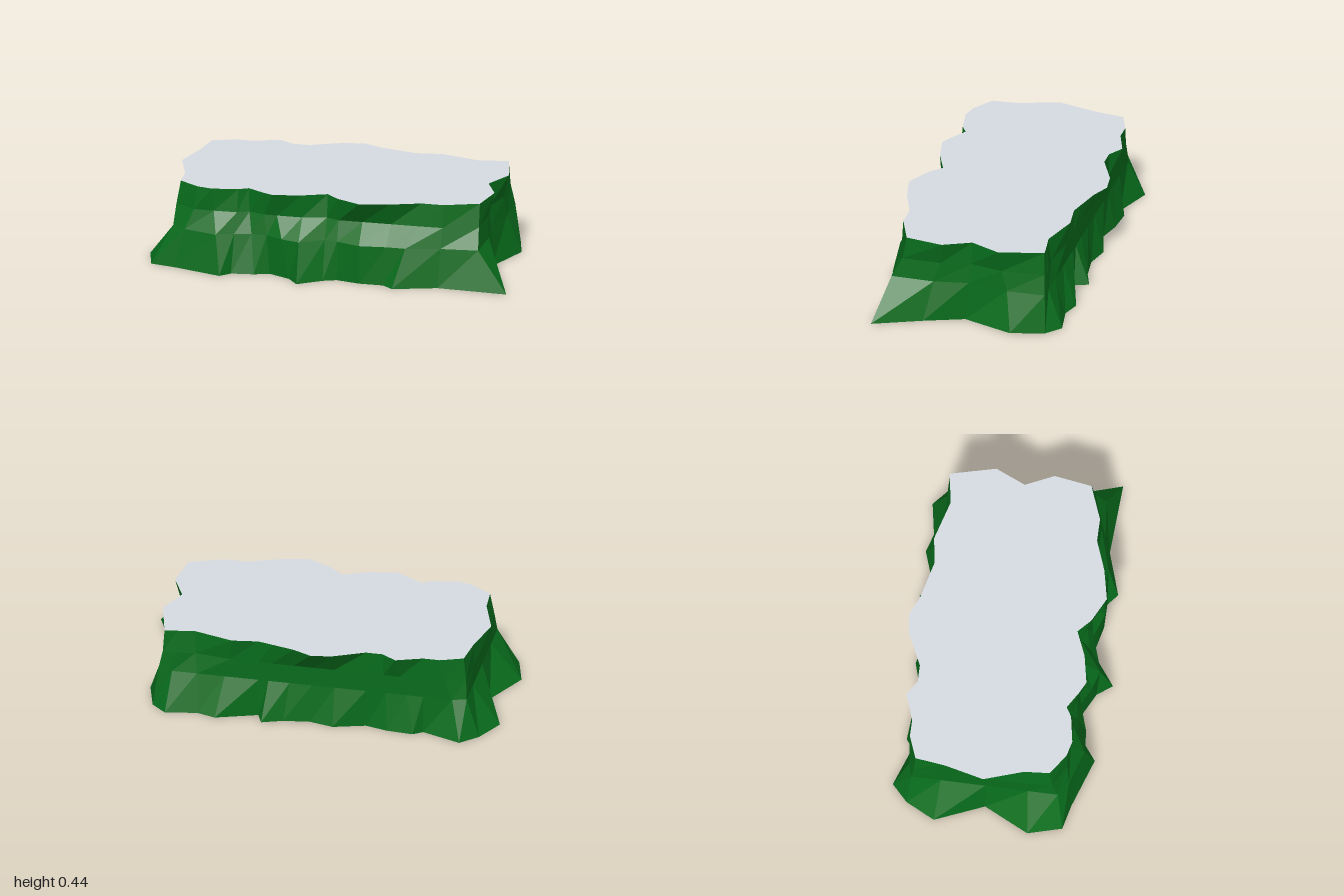
import * as THREE from 'three';

// Plateau outline as x, z pairs, from the back left corner clockwise seen from above
const RIM = [
  -.82, -.41, -.70, -.455, -.61, -.455, -.47, -.505, -.39, -.455, -.30, -.455,
  -.13, -.535, -.02, -.55, .08, -.505, .20, -.475, .28, -.455, .42, -.475,
  .63, -.415, .72, -.43, .79, -.44, .85, -.20, .78, -.04, .85, .11,
  .82, .31, .64, .38, .52, .38, .36, .44, .20, .475, .07, .41,
  0, .345, -.13, .40, -.28, .43, -.34, .40, -.43, .345, -.48, .375,
  -.62, .40, -.70, .38, -.81, .305, -.82, .17, -.89, -.04, -.84, -.25,
];

// Foot outline, matching the rim column by column
const FOOT = [
  -.91, -.445, -.82, -.53, -.61, -.455, -.56, -.49, -.42, -.48, -.30, -.45,
  -.13, -.50, 0, -.47, .14, -.49, .25, -.53, .28, -.455, .50, -.53,
  .60, -.50, .77, -.53, .85, -.46, .90, -.28, .81, -.01, .89, .20,
  1, .455, .62, .435, .39, .51, .33, .46, .20, .46, .07, .43,
  0, .46, -.12, .55, -.18, .47, -.30, .41, -.38, .44, -.50, .455,
  -.55, .51, -.82, .42, -.95, .39, -1, .21, -.88, -.03, -.99, -.29,
];

// Rings from foot to rim: height, blend towards the rim, and the limits that form the waist
const RINGS = [
  { y: 0, t: 0, left: -1, right: 1, back: -.55, front: .55 },
  { y: .21, t: .45, left: -.84, right: .83, back: -.45, front: .49 },
  { y: .32, t: .85, left: -.84, right: .82, back: -.455, front: .39 },
  { y: .445, t: 1, left: -1, right: 1, back: -.55, front: .55 },
];

function cliffGeometry() {
  const { lerp, clamp } = THREE.MathUtils;
  const n = RIM.length / 2;
  const positions = [];
  const index = [];
  for (const ring of RINGS) {
    for (let i = 0; i < n; i++) {
      const x = lerp(FOOT[2 * i], RIM[2 * i], ring.t);
      const z = lerp(FOOT[2 * i + 1], RIM[2 * i + 1], ring.t);
      positions.push(clamp(x, ring.left, ring.right), ring.y, clamp(z, ring.back, ring.front));
    }
  }
  for (let r = 0; r < RINGS.length - 1; r++) {
    for (let i = 0; i < n; i++) {
      const a = r * n + i;
      const b = r * n + (i + 1) % n;
      index.push(b, a, a + n, b, a + n, b + n);
    }
  }
  const geometry = new THREE.BufferGeometry();
  geometry.setAttribute('position', new THREE.Float32BufferAttribute(positions, 3));
  geometry.setIndex(index);
  const faceted = geometry.toNonIndexed();
  faceted.computeVertexNormals();
  return faceted;
}

function plateauGeometry() {
  const points = [];
  for (let i = 0; i < RIM.length; i += 2) points.push(new THREE.Vector2(RIM[i], -RIM[i + 1]));
  const geometry = new THREE.ShapeGeometry(new THREE.Shape(points));
  geometry.rotateX(-Math.PI / 2);
  geometry.translate(0, .445, 0);
  return geometry;
}

export function createModel() {
  const group = new THREE.Group();
  group.name = 'rockPlateau';

  const green = new THREE.MeshStandardMaterial({ color: 0x086c1c, side: THREE.DoubleSide, flatShading: true });
  green.name = 'mossGreen';
  const grey = new THREE.MeshStandardMaterial({ color: 0xd5dae2, side: THREE.DoubleSide });
  grey.name = 'paleGrey';

  // Open-bottomed cliff wall
  const cliff = new THREE.Mesh(cliffGeometry(), green);
  cliff.name = 'cliffWall';

  // Flat top
  const plateau = new THREE.Mesh(plateauGeometry(), grey);
  plateau.name = 'plateauTop';

  group.add(cliff, plateau);
  return group;
}
